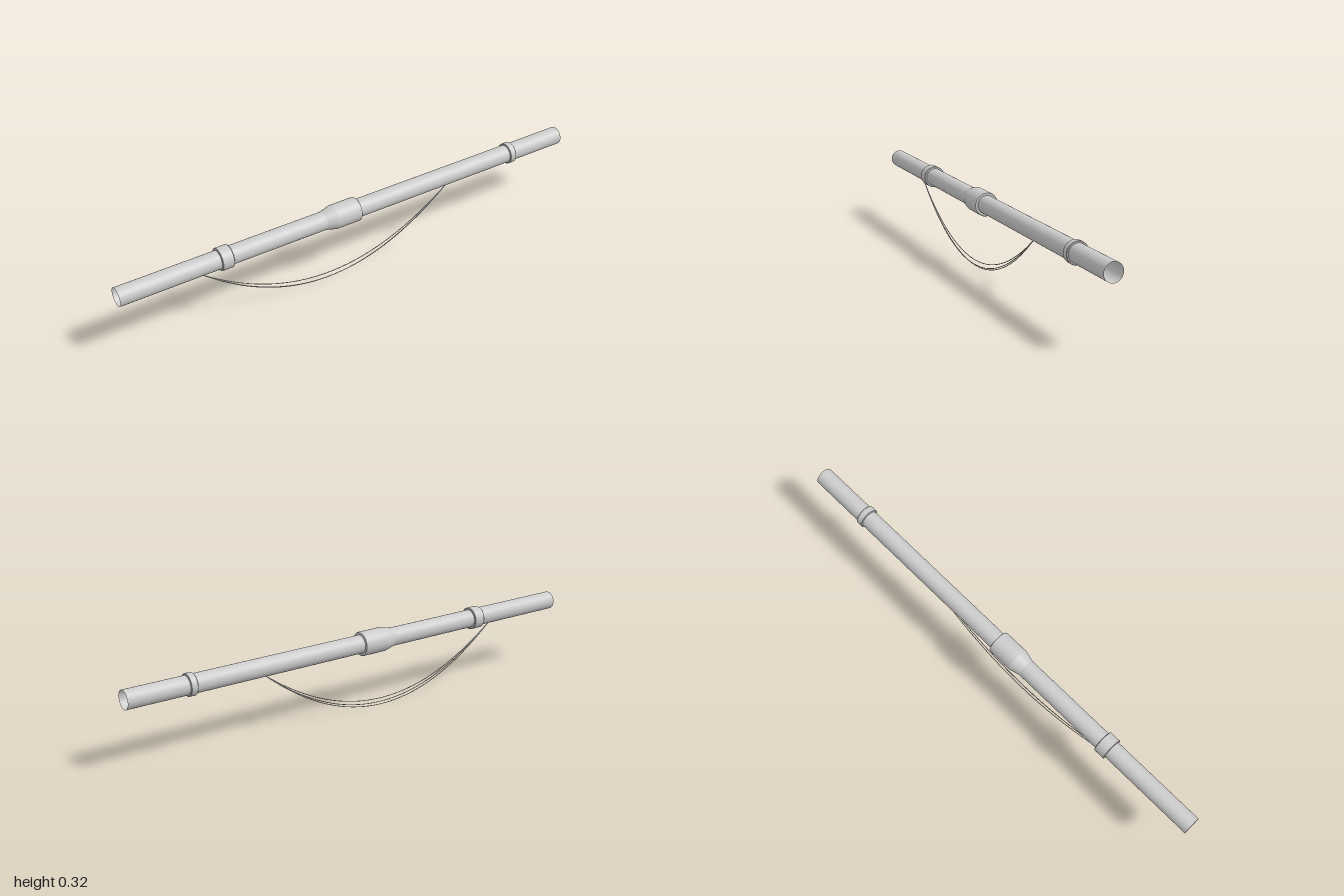
import * as THREE from 'three';

const AXIS_Y = 0.276;
const PIPE_R = 0.0365;
const material = new THREE.MeshStandardMaterial({ color: 0xcccccc, side: THREE.DoubleSide });

// Revolves [x, radius] points about the pipe's axis; each segment keeps crisp edges.
function addTurned(group, name, points) {
  const part = new THREE.Group();
  part.name = name;
  for (let i = 0; i < points.length - 1; i++) {
    const profile = [points[i], points[i + 1]].map(([x, r]) => new THREE.Vector2(r, x));
    const mesh = new THREE.Mesh(new THREE.LatheGeometry(profile, 48), material);
    mesh.name = name + 'Surface';
    mesh.rotation.z = -Math.PI / 2;
    part.add(mesh);
  }
  part.position.y = AXIS_Y;
  group.add(part);
}

// Band with small chamfers that closes down onto the pipe.
function addBand(group, name, x0, x1, r) {
  const c = 0.002;
  addTurned(group, name, [[x0, PIPE_R], [x0, r - c], [x0 + c, r], [x1 - c, r], [x1, r - c], [x1, PIPE_R]]);
}

export function createModel() {
  const model = new THREE.Group();
  model.name = 'jointedPipe';

  // Long open pipe
  addTurned(model, 'pipe', [[-1, PIPE_R], [1, PIPE_R]]);

  // Tapered socket in the middle
  addTurned(model, 'socketSleeve', [
    [-0.15, PIPE_R], [-0.105, 0.048], [-0.003, 0.048], [0, 0.046], [0, PIPE_R],
  ]);

  // Clamping bands
  addBand(model, 'wideBand', -0.6, -0.552, 0.045);
  addBand(model, 'narrowBand', 0.73, 0.758, 0.043);

  // Thin wires hanging below the pipe: [lowest y, z at the lowest point]
  const wireR = 0.0015;
  [[wireR, 0.002], [0.009, 0.01], [0.026, 0.006]].forEach(([low, z], i) => {
    const top = AXIS_Y - PIPE_R;
    const curve = new THREE.QuadraticBezierCurve3(
      new THREE.Vector3(-0.67, top, 0.006),
      new THREE.Vector3(-0.12, 2 * low - top, 2 * z - 0.006),
      new THREE.Vector3(0.43, top, 0.006),
    );
    const wire = new THREE.Mesh(new THREE.TubeGeometry(curve, 48, wireR, 8), material);
    wire.name = 'hangingWire' + (i + 1);
    model.add(wire);
  });

  return model;
}
